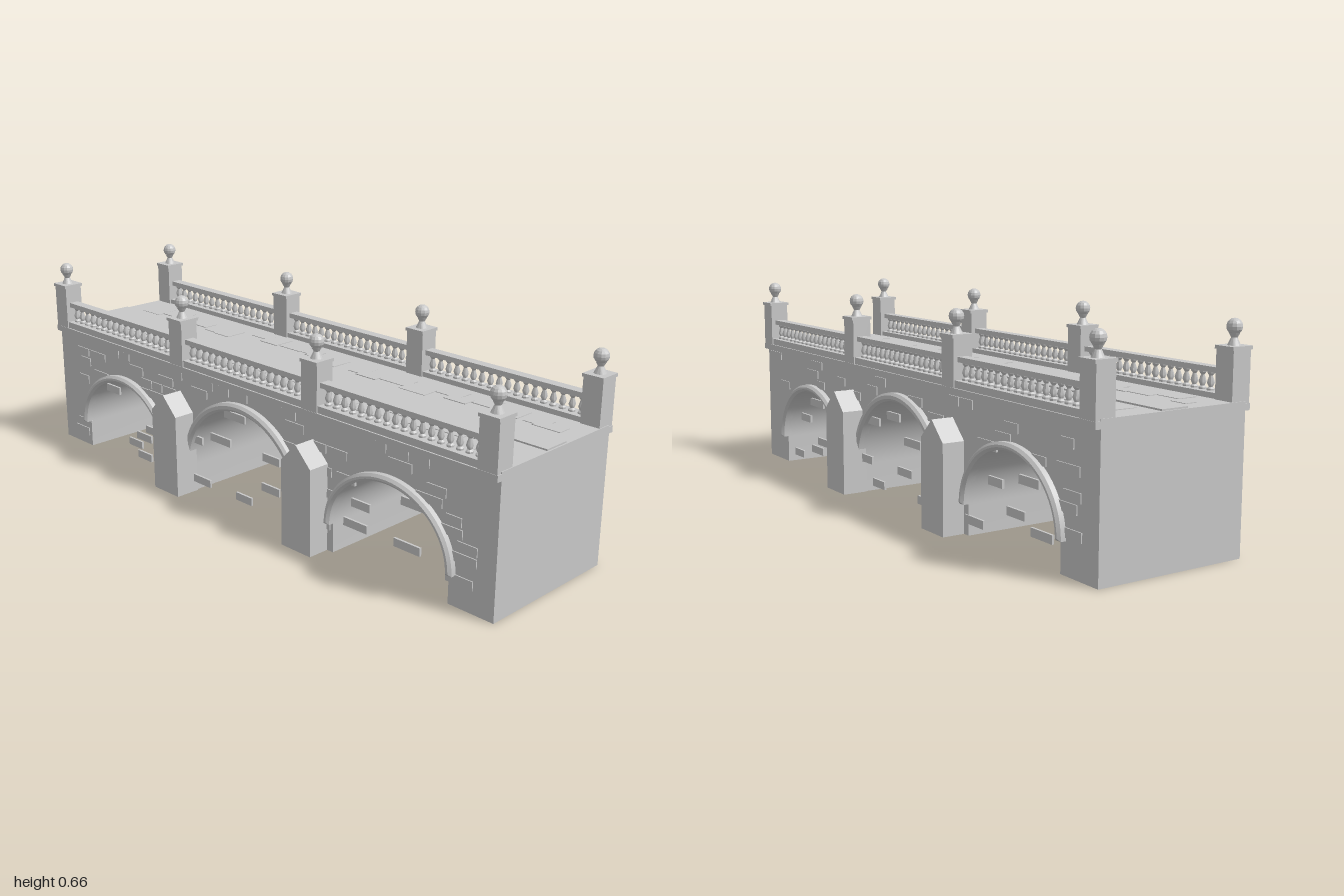
import * as THREE from 'three';
import { toCreasedNormals } from 'three/addons/utils/BufferGeometryUtils.js';

const stone = new THREE.MeshStandardMaterial({ color: 0xc8c8c8 });
stone.name = 'stone grey';

const SPRING = 0.095;
const ARCHES = [ // z centre, inner half width, inner rise, ring width
  { z: 0.62, a: 0.222, b: 0.2, w: 0.023 },
  { z: 0, a: 0.257, b: 0.25, w: 0.027 },
  { z: -0.62, a: 0.222, b: 0.2, w: 0.023 },
];
const POSTS = [0.965, 0.31, -0.31, -0.965];

function seeded(seed) {
  let s = seed;
  return () => (s = (s * 16807) % 2147483647) / 2147483647;
}

function add(parent, name, geometry, x = 0, y = 0, z = 0) {
  const mesh = new THREE.Mesh(geometry, stone);
  mesh.name = name;
  mesh.position.set(x, y, z);
  parent.add(mesh);
  return mesh;
}

// Box given by its limits on each axis
function block(parent, name, x0, x1, y0, y1, z0, z1) {
  return add(parent, name, new THREE.BoxGeometry(x1 - x0, y1 - y0, z1 - z0),
    (x0 + x1) / 2, (y0 + y1) / 2, (z0 + z1) / 2);
}

// Extrude a (z, y) shape across x, centred on x = 0
function across(shape, depth, bevel = 0) {
  const g = new THREE.ExtrudeGeometry(shape, {
    depth: depth - 2 * bevel, curveSegments: 28, bevelEnabled: bevel > 0,
    bevelSize: bevel, bevelThickness: bevel, bevelOffset: -bevel, bevelSegments: 1,
  });
  g.translate(0, 0, -(depth - 2 * bevel) / 2);
  g.rotateY(-Math.PI / 2);
  return toCreasedNormals(g, 0.4);
}

// Solid bridge body with three arched openings
function bodyShape() {
  const s = new THREE.Shape();
  s.moveTo(1, 0);
  s.lineTo(1, 0.44);
  s.lineTo(-1, 0.44);
  s.lineTo(-1, 0);
  for (const { z, a, b } of [...ARCHES].reverse()) {
    s.lineTo(z - a, 0);
    s.lineTo(z - a, SPRING);
    s.absellipse(z, SPRING, a, b, Math.PI, 0, true);
    s.lineTo(z + a, 0);
  }
  s.closePath();
  return s;
}

function ringShape({ a, b, w }) {
  const s = new THREE.Shape();
  s.moveTo(a + w, SPRING);
  s.absellipse(0, SPRING, a + w, b + w, 0, Math.PI, false);
  s.lineTo(-a, SPRING);
  s.absellipse(0, SPRING, a, b, Math.PI, 0, true);
  s.closePath();
  return s;
}

// True when the point lies inside an arch opening or its ring
function inOpening(z, y) {
  return ARCHES.some((o) => {
    const dz = Math.abs(z - o.z) / (o.a + o.w);
    const dy = Math.max(0, y - SPRING) / (o.b + o.w);
    return dz * dz + dy * dy < 1;
  });
}

// Stones standing in the openings, by course: z of the centres
const LOOSE = [
  [0.05, [0.74, 0.235, 0.14, 0, -0.15, -0.21, -0.43, -0.52]],
  [0.085, [0.59, -0.57, -0.76]],
  [0.12, [0.69, 0.54, 0.49, 0.22, 0.125, -0.03, -0.52, -0.64]],
  [0.155, [-0.46]],
  [0.19, [0.68, 0.51, -0.2, -0.25, -0.54]],
  [0.222, [0.13, -0.08, -0.11, -0.7]],
  [0.256, [0.71, 0.59, 0.45, 0.18, -0.69]],
  [0.29, [0.04, -0.53, -0.73]],
  [0.32, [-0.04]],
];

export function createModel() {
  const model = new THREE.Group();
  model.name = 'stoneBridge';

  add(model, 'bridgeBody', across(bodyShape(), 0.5));

  // Raised centre strip and uneven paving on the deck
  block(model, 'deckCentreStrip', -0.045, 0.045, 0.436, 0.445, -0.995, 0.995);
  const rand = seeded(77);
  for (let i = 0; i < 44; i++) {
    const side = i % 2 ? 1 : -1;
    const slab = add(model, 'pavingSlab',
      new THREE.BoxGeometry(0.04 + rand() * 0.05, 0.004, 0.05 + rand() * 0.07),
      side * (0.09 + rand() * 0.065), 0.44, -0.93 + 1.86 * (i + rand()) / 44);
    slab.rotation.z = (rand() - 0.5) * 0.03;
  }

  // Cutwater buttress profile with a gabled top
  const gable = new THREE.Shape();
  [[-0.0615, 0], [0.0615, 0], [0.0615, 0.28], [0, 0.342], [-0.0615, 0.28]]
    .forEach(([z, y], i) => (i ? gable.lineTo(z, y) : gable.moveTo(z, y)));
  gable.closePath();
  const buttressGeo = across(gable, 0.085);

  const ringGeos = ARCHES.map((o) => across(ringShape(o), 0.045, 0.008));

  // Turned baluster and ball finial
  const turned = (points, n) => toCreasedNormals(
    new THREE.LatheGeometry(points.map(([r, y]) => new THREE.Vector2(r, y)), n), 0.7);
  const balusterGeo = turned([[0.011, 0], [0.011, 0.006], [0.006, 0.011], [0.011, 0.022],
    [0.009, 0.03], [0.005, 0.042], [0.01, 0.049], [0.01, 0.056]], 8);
  const finialGeo = turned([[0.019, 0], [0.017, 0.004], [0.009, 0.021], [0.016, 0.034]], 12);
  const ballGeo = toCreasedNormals(new THREE.SphereGeometry(0.023, 12, 8), 0.3);

  for (const side of [1, -1]) {
    const half = new THREE.Group();
    half.name = side > 0 ? 'leftSide' : 'rightSide';
    model.add(half);
    const span = (name, x0, x1, y0, y1, z0, z1) =>
      block(half, name, Math.min(side * x0, side * x1), Math.max(side * x0, side * x1), y0, y1, z0, z1);

    // Arch rings and buttresses
    ARCHES.forEach((o, i) => add(half, 'archRing', ringGeos[i], side * 0.2525, 0, o.z));
    for (const z of [0.3125, -0.3125]) add(half, 'buttress', buttressGeo, side * 0.281, 0, z);

    // Cornice, parapet base and handrail
    span('cornice', 0.24, 0.267, 0.414, 0.434, -1, 1);
    span('parapetBase', 0.208, 0.262, 0.434, 0.456, -0.99, 0.99);
    span('handrail', 0.218, 0.252, 0.509, 0.525, -0.97, 0.97);

    // Posts with caps and ball finials
    for (const z of POSTS) {
      span('post', 0.202, 0.266, 0.434, 0.582, z - 0.0325, z + 0.0325);
      span('postCap', 0.198, 0.271, 0.58, 0.59, z - 0.035, z + 0.035);
      add(half, 'finialStem', finialGeo, side * 0.235, 0.59, z);
      add(half, 'finialBall', ballGeo, side * 0.235, 0.641, z);
    }

    // Balusters between neighbouring posts
    for (let p = 0; p < 3; p++) {
      const start = POSTS[p] - 0.034, length = start - POSTS[p + 1] - 0.034;
      const count = 18;
      for (let i = 0; i < count; i++) {
        add(half, 'baluster', balusterGeo, side * 0.235, 0.455, start - length * (i + 0.5) / count);
      }
    }

    // Raised wall stones laid in courses
    const r = seeded(side > 0 ? 4211 : 9173);
    for (let row = 0; row < 11; row++) {
      const y = 0.05 + row * 0.0343;
      for (let z = -0.94 + r() * 0.06; z < 0.94;) {
        const len = 0.05 + r() * 0.05;
        const mid = z + len / 2;
        if (r() < 0.3 && mid < 0.94 && !inOpening(mid, y)) {
          span('wallStone', 0.246, 0.2535, y - 0.014, y + 0.014, z, z + len);
        }
        z += len + 0.006;
      }
    }

    // Loose stones in the openings, shared between the two faces
    let n = 0;
    for (const [y, list] of LOOSE) {
      for (const z of list) {
        const len = 0.07 + r() * 0.03;
        if (n++ % 2 === (side > 0 ? 0 : 1)) {
          span('looseStone', 0.246, 0.2535, y - 0.013, y + 0.013, z - len / 2, z + len / 2);
        }
      }
    }
  }
  return model;
}
